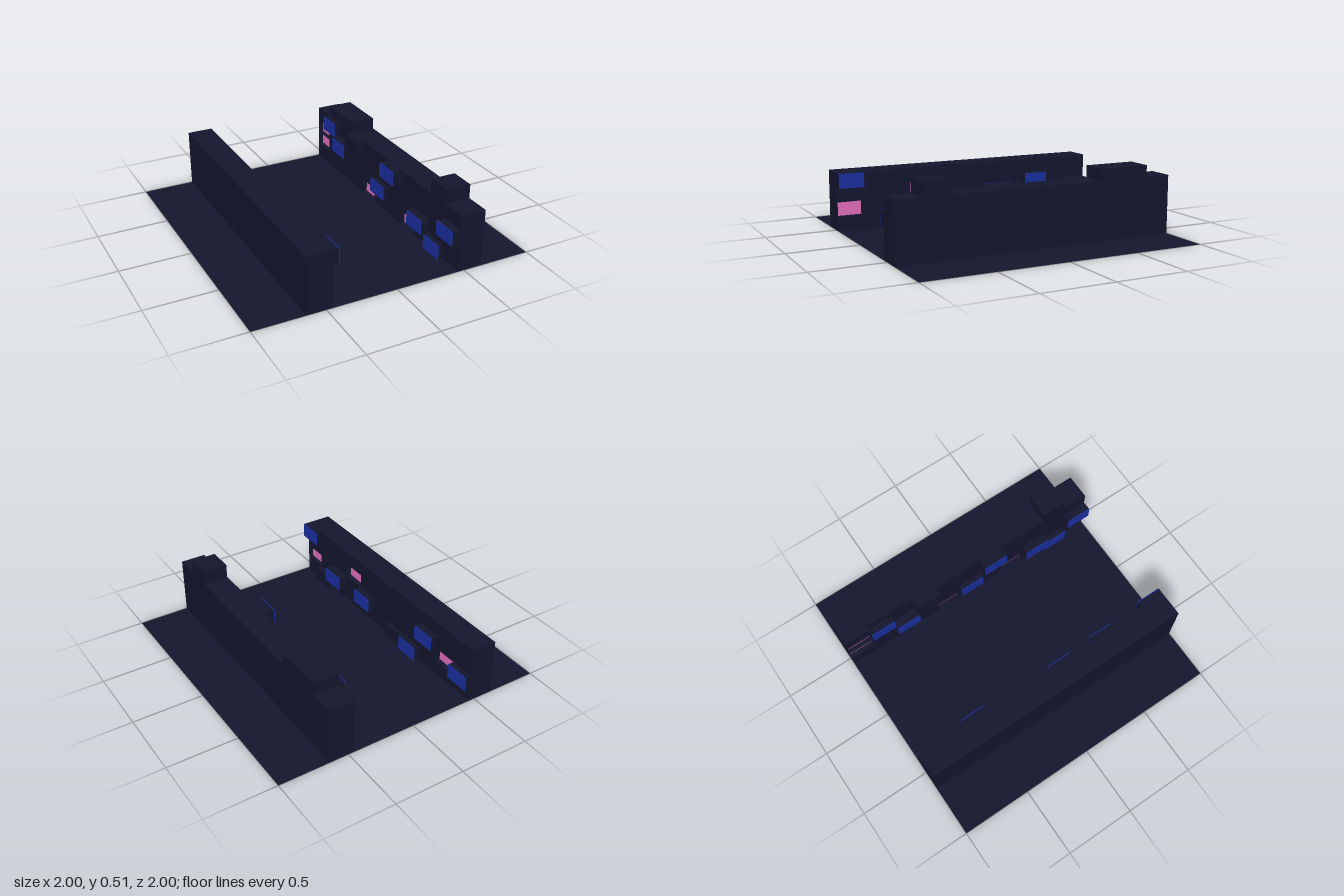
import * as THREE from 'three';
import { mergeGeometries } from 'three/addons/utils/BufferGeometryUtils.js';

const CELL = 2 / 11, ROW = 0.1025, INNER = 0.455, OUTER = 0.635, RECESS = 0.49, PLATE = 0.006;
const HEIGHT = ROW * 4;
const PX = 0, NX = 1, NY = 3;

const paint = (color) => new THREE.MeshStandardMaterial({ color, side: THREE.DoubleSide });

// Box between two corners, leaving out the listed faces
function openBox(x0, x1, y0, y1, z0, z1, omit = []) {
  const g = new THREE.BoxGeometry(Math.abs(x1 - x0), y1 - y0, z1 - z0);
  const index = Array.from(g.index.array).filter((_, i) => !omit.includes(Math.floor(i / 6)));
  g.setIndex(index);
  g.clearGroups();
  return g.translate((x0 + x1) / 2, (y0 + y1) / 2, (z0 + z1) / 2);
}

// Facade cells as [column from the back, row, distance from the middle, has glowing plate]
const sides = [
  {
    name: 'left', sign: 1,
    blocks: [[1, 3, 0.41, 1], [2, 2, 0.39, 1], [3, 3, 0.395, 0], [5, 1, 0.42, 1], [6, 3, 0.385, 1],
      [8, 1, 0.395, 1], [9, 0, 0.42, 1], [10, 2, 0.395, 1]],
    windows: [[0, 1], [0, 2], [4, 0], [7, 0]],
    roofs: [[1, 3, 0.49], [9, 10, 0.51]],
  },
  {
    name: 'right', sign: -1,
    blocks: [[0, 1, 0.415, 1], [2, 2, 0.405, 1], [3, 0, 0.415, 1], [4, 0, 0.425, 0], [6, 1, 0.4, 1],
      [8, 1, 0.385, 1], [9, 0, 0.415, 0], [10, 3, 0.415, 1]],
    windows: [[10, 1], [7, 2], [1, 1]],
    roofs: [],
  },
];

function buildSide({ name, sign, blocks, windows, roofs }, mats) {
  const group = new THREE.Group();
  group.name = name + 'Building';
  const add = (part, geos, mat) => {
    if (!geos.length) return;
    const mesh = new THREE.Mesh(mergeGeometries(geos), mat);
    mesh.name = part;
    group.add(mesh);
  };
  const innerFace = sign > 0 ? NX : PX, outerFace = sign > 0 ? PX : NX;
  const zAt = (col) => -1 + col * CELL;
  const cellBox = (col, row, a, b, omit) =>
    openBox(sign * a, sign * b, row * ROW, (row + 1) * ROW, zAt(col), zAt(col + 1), omit);

  // Outer shell, open below and towards the street
  add('wallShell', [openBox(sign * INNER, sign * OUTER, 0, HEIGHT, -1, 1, [NY, innerFace])], mats.wall);

  // Flat cells of the street facade
  const used = new Set([...blocks, ...windows].map(([c, r]) => c + ',' + r));
  const flat = [];
  for (let c = 0; c < 11; c++) for (let r = 0; r < 4; r++) {
    if (used.has(c + ',' + r)) continue;
    const quad = new THREE.PlaneGeometry(CELL, ROW).rotateY(-sign * Math.PI / 2);
    flat.push(quad.translate(sign * INNER, (r + 0.5) * ROW, zAt(c + 0.5)));
  }
  add('facade', flat, mats.wall);

  // Projecting blocks and their glowing plates
  add('facadeBlocks', blocks.map(([c, r, d]) =>
    cellBox(c, r, d, INNER, r ? [outerFace] : [outerFace, NY])), mats.wall);
  add('glowPlates', blocks.filter((b) => b[3]).map(([c, r, d]) =>
    cellBox(c, r, d - PLATE, d, [])), mats.glow);

  // Recessed windows with their reveals
  add('windowReveals', windows.map(([c, r]) =>
    cellBox(c, r, INNER, RECESS, [innerFace, outerFace])), mats.wall);
  add('windows', windows.map(([c, r]) =>
    new THREE.PlaneGeometry(CELL, ROW).rotateY(-sign * Math.PI / 2)
      .translate(sign * RECESS, (r + 0.5) * ROW, zAt(c + 0.5))), mats.window);

  // Raised roof blocks
  add('roofBlocks', roofs.map(([c0, c1, top]) =>
    openBox(sign * INNER, sign * OUTER, HEIGHT, top, zAt(c0), zAt(c1), [NY])), mats.wall);
  return group;
}

export function createModel() {
  const model = new THREE.Group();
  model.name = 'street';
  const mats = { wall: paint(0x14162e), glow: paint(0x1a2fa0), window: paint(0xe56fbd) };

  // Street and the ground behind each building
  for (const [name, x0, x1] of [['street', -INNER, INNER], ['leftGround', OUTER, 1], ['rightGround', -1, -OUTER]]) {
    const floor = new THREE.Mesh(new THREE.PlaneGeometry(x1 - x0, 2).rotateX(-Math.PI / 2), mats.wall);
    floor.position.x = (x0 + x1) / 2;
    floor.name = name;
    model.add(floor);
  }

  for (const side of sides) model.add(buildSide(side, mats));
  return model;
}
